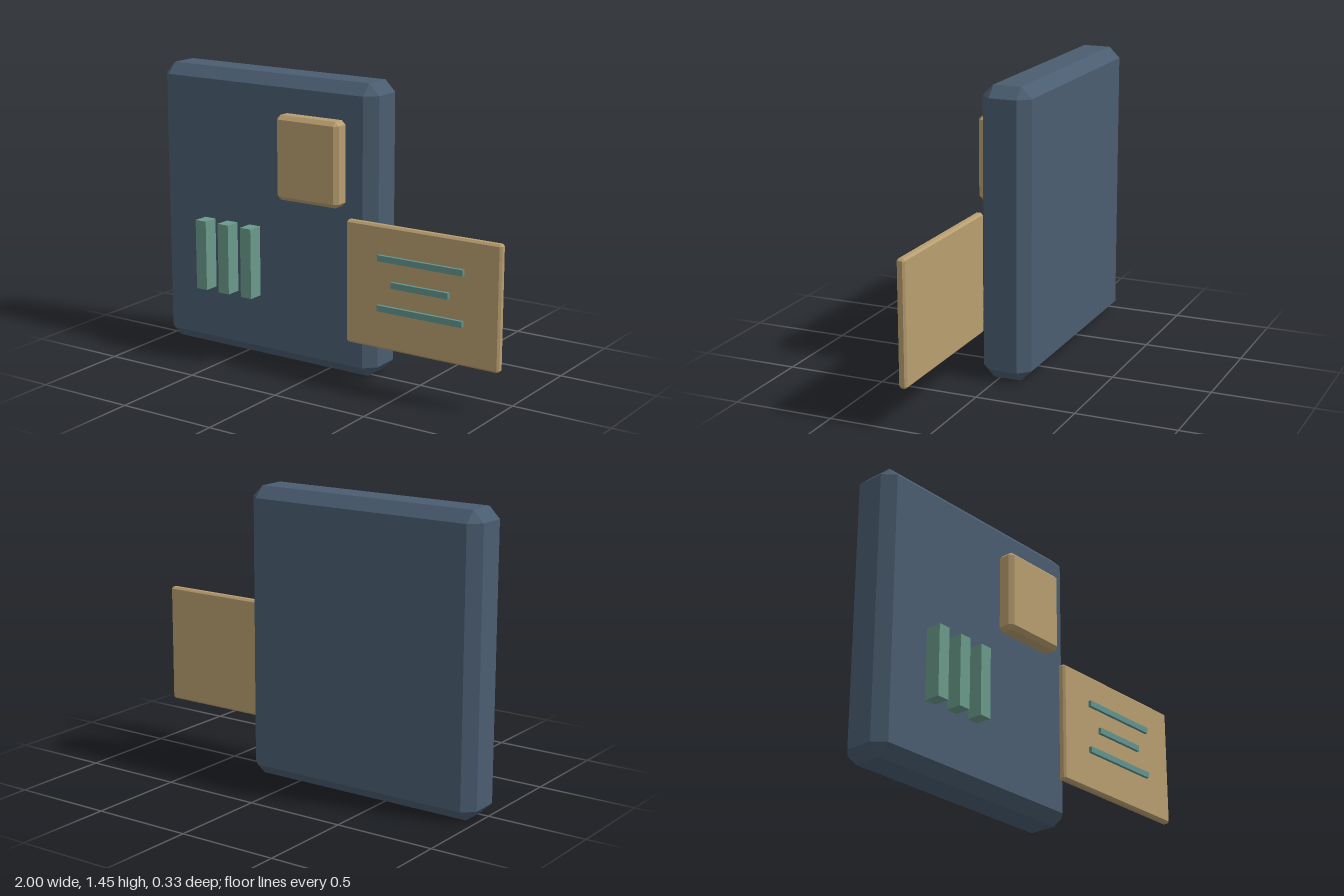
import * as THREE from 'three';
import { ConvexGeometry } from 'three/addons/geometries/ConvexGeometry.js';

const mat = (name, color) => {
  const m = new THREE.MeshStandardMaterial({ color });
  m.name = name;
  return m;
};

// Box between two corners with every edge cut by a flat chamfer c
function chamferBox(min, max, c) {
  const centre = min.map((v, i) => (v + max[i]) / 2);
  const half = min.map((v, i) => (max[i] - v) / 2);
  const points = [];
  for (const sx of [-1, 1]) for (const sy of [-1, 1]) for (const sz of [-1, 1]) {
    const sign = [sx, sy, sz];
    for (let full = 0; full < 3; full++) {
      points.push(new THREE.Vector3(...sign.map((s, i) => s * (half[i] - (i === full ? 0 : c)))));
    }
  }
  return new ConvexGeometry(points).translate(...centre);
}

function plainBox(min, max) {
  return new THREE.BoxGeometry(...min.map((v, i) => max[i] - v))
    .translate(...min.map((v, i) => (v + max[i]) / 2));
}

export function createModel() {
  const group = new THREE.Group();
  const slate = mat('slate blue', 0x4a5d70);
  const tan = mat('tan', 0xb89e70);
  const green = mat('sage green', 0x6a9a8a);
  const teal = mat('muted teal', 0x62958f);

  const add = (name, geometry, material) => {
    const mesh = new THREE.Mesh(geometry, material);
    mesh.name = name;
    group.add(mesh);
  };

  // Main slab
  add('body', chamferBox([-1, 0, -0.165], [0.275, 1.445, 0.085], 0.055), slate);

  // Raised pad on the front
  add('pad', chamferBox([-0.235, 0.85, 0.04], [0.122, 1.267, 0.16], 0.02), tan);

  // Three upright bars
  [-0.695, -0.556, -0.417].forEach((x, i) =>
    add(`bar${i + 1}`, plainBox([x - 0.032, 0.323, 0.06], [x + 0.032, 0.68, 0.165]), green));

  // Card floating in front of the right-hand edge
  add('card', chamferBox([0.168, 0.2, 0.107], [1, 0.807, 0.148], 0.01), tan);

  // Printed lines on the card
  [[0.65, 0.23], [0.528, 0.154], [0.405, 0.23]].forEach(([y, w], i) =>
    add(`cardLine${i + 1}`, plainBox([0.583 - w, y - 0.015, 0.14], [0.583 + w, y + 0.015, 0.164]), teal));

  return group;
}
